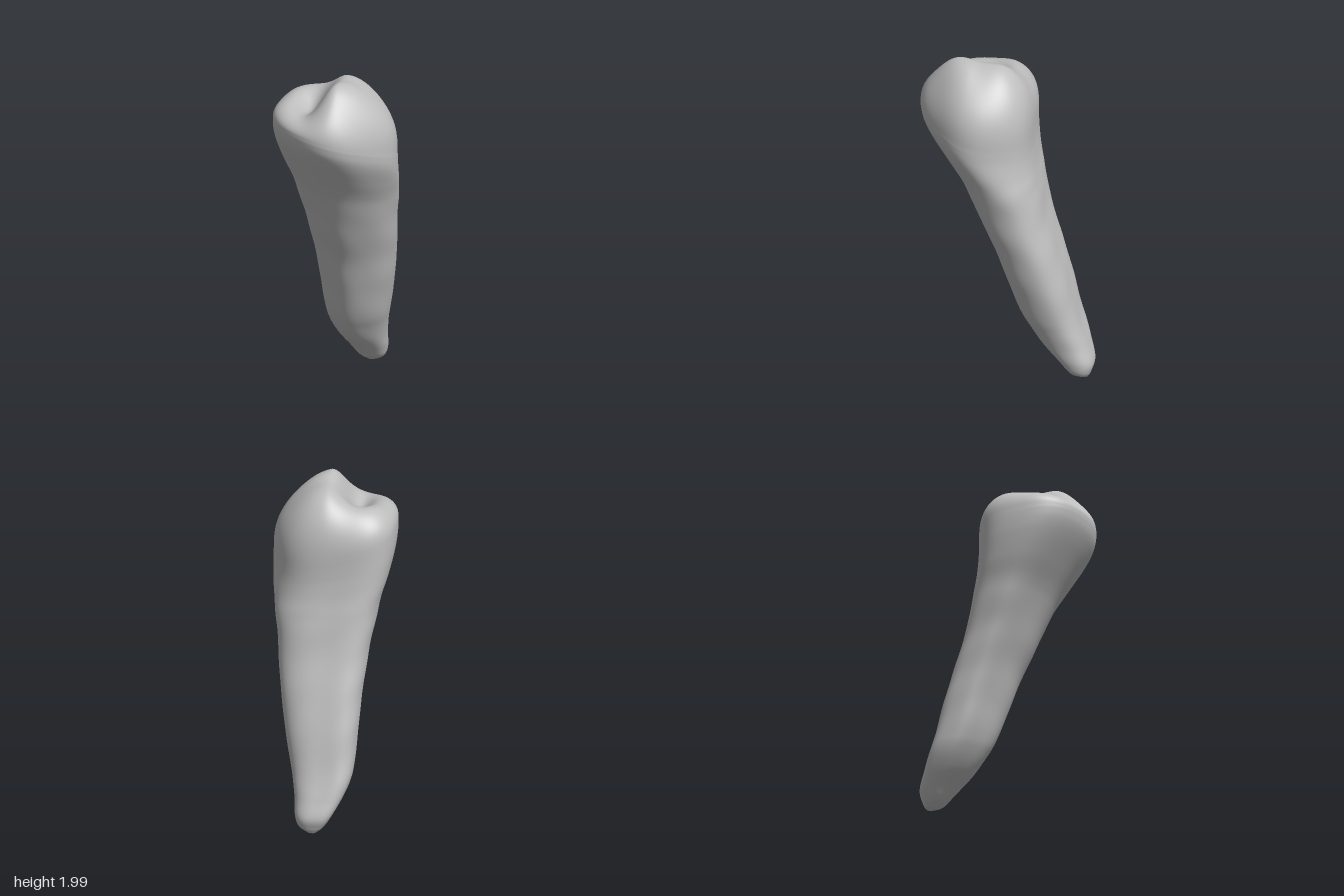
import * as THREE from 'three';

const { smoothstep, lerp } = THREE.MathUtils;
const SEG = 96, SIDE_ROWS = 130, CAP_ROWS = 44;

// Cross-sections from root tip to widest crown line: y, xMin, xMax, zMin, zMax
const SECTIONS = [
  [0.0, 0.04, 0.095, -0.49, -0.435],
  [0.035, -0.005, 0.15, -0.508, -0.375],
  [0.1, -0.05, 0.172, -0.522, -0.31],
  [0.2, -0.108, 0.18, -0.487, -0.205],
  [0.3, -0.15, 0.197, -0.45, -0.13],
  [0.4, -0.166, 0.22, -0.42, -0.075],
  [0.6, -0.18, 0.258, -0.37, 0.0],
  [0.8, -0.197, 0.288, -0.312, 0.07],
  [1.0, -0.222, 0.31, -0.248, 0.16],
  [1.2, -0.26, 0.333, -0.203, 0.247],
  [1.3, -0.283, 0.345, -0.185, 0.304],
  [1.4, -0.32, 0.356, -0.168, 0.38],
  [1.5, -0.35, 0.364, -0.157, 0.466],
  [1.56, -0.361, 0.366, -0.154, 0.507],
  [1.61, -0.365, 0.366, -0.153, 0.522],
  [1.64, -0.365, 0.365, -0.153, 0.524],
];

const bump = (x, z, cx, cz, wx, wz) => Math.exp(-(((x - cx) / wx) ** 2) - ((z - cz) / wz) ** 2);

// Height of the chewing surface: tall cusp ridge, back lobe and saddle, groove
function biteHeight(x, z) {
  const ridge = 0.1 + 0.052 * Math.exp(-(((z - 0.32) / 0.12) ** 2))
    + 0.016 * Math.exp(-(((z - 0.02) / 0.1) ** 2));
  const cusp = ridge * Math.exp(-(((x - 0.05) / (x > 0.05 ? 0.24 : 0.12)) ** 2));
  const lobe = 0.03 * bump(x, z, -0.26, 0.02, 0.11, 0.14);
  const saddle = 0.03 * bump(x, z, -0.13, -0.02, 0.1, 0.12);
  const groove = 0.09 * bump(x, z, -0.13, 0.23, 0.09, 0.17);
  return 1.865 + cusp + lobe + saddle - groove;
}

// Ring radius around a unit circle: four corners fuller or flatter, differing in root and crown
function ringRadius(t, crown) {
  const c = Math.cos(t), s = Math.sin(t);
  const root = 0.02 - 0.063 * s + 0.014 * c + 0.045 * Math.sin(2 * t);
  const top = 0.0125 - 0.06 * s - 0.055 * c;
  return 1 + Math.sin(2 * t) ** 2 * lerp(root, top, crown);
}

function toothGeometry() {
  const side = (ix, iz) => new THREE.CatmullRomCurve3(
    SECTIONS.map((q) => new THREE.Vector3(q[ix], q[0], q[iz])), false, 'catmullrom', 0.5);
  const low = side(1, 3), high = side(2, 4);
  const pos = [], index = [];

  // Root and crown wall, with rings that bow backwards and tilt towards the crown
  let rim = [];
  for (let i = 0; i <= SIDE_ROWS; i++) {
    const a = low.getPoint(i / SIDE_ROWS), b = high.getPoint(i / SIDE_ROWS);
    const crown = smoothstep(a.y, 1.1, 1.6);
    const rootBody = smoothstep(a.y, 0.1, 0.3) * (1 - crown);
    const bow = 0.035 * smoothstep(a.y, 0, 0.3);
    rim = [];
    for (let j = 0; j < SEG; j++) {
      const t = (j / SEG) * Math.PI * 2, c = Math.cos(t), s = Math.sin(t);
      const ripple = 0.008 * Math.sin(a.y * 22 + 3 * c) * Math.cos(2 * t + a.y * 3);
      const r = ringRadius(t, crown) * (1 + rootBody * ripple);
      const x = (a.x + b.x) / 2 + r * c * (b.x - a.x) / 2;
      const z = (a.z + b.z) / 2 + r * s * (b.z - a.z) / 2 - bow * c * c;
      rim.push([x, a.y + crown * (-0.23 * x + 0.18 * (z - 0.18)), z]);
    }
    pos.push(...rim.flat());
  }

  // Crown top: the rim shrinks inwards and domes up to the chewing surface
  for (let i = 1; i < CAP_ROWS; i++) {
    const k = Math.cos((i / CAP_ROWS) * Math.PI / 2);
    for (const [rx, ry, rz] of rim) {
      const x = rx * k, z = lerp(0.185, rz, k);
      const front = smoothstep(rz, 0.2, 0.5);
      const p = lerp(2.6 + 0.2 * smoothstep(-rx, 0, 0.3), 1.9, front);
      const dome = (1 - k ** p) ** (1 / p);
      pos.push(x, lerp(ry, biteHeight(x, z), dome), z);
    }
  }

  const rows = SIDE_ROWS + CAP_ROWS;
  for (let i = 0; i < rows - 1; i++) {
    for (let j = 0; j < SEG; j++) {
      const a = i * SEG + j, b = i * SEG + ((j + 1) % SEG);
      index.push(a, a + SEG, b, b, a + SEG, b + SEG);
    }
  }
  // Close the top middle and the root tip
  const top = pos.length / 3, last = (rows - 1) * SEG;
  pos.push(0, biteHeight(0, 0.185), 0.185, 0.068, 0, -0.463);
  for (let j = 0; j < SEG; j++) {
    const n = (j + 1) % SEG;
    index.push(last + j, top, last + n, j, n, top + 1);
  }

  const geo = new THREE.BufferGeometry();
  geo.setAttribute('position', new THREE.Float32BufferAttribute(pos, 3));
  geo.setIndex(index);
  geo.computeVertexNormals();
  return geo;
}

export function createModel() {
  const group = new THREE.Group();
  group.name = 'tooth';
  const enamel = new THREE.MeshStandardMaterial({ color: 0xbebebe });
  enamel.name = 'grey enamel';
  const tooth = new THREE.Mesh(toothGeometry(), enamel);
  tooth.name = 'crownAndRoot';
  group.add(tooth);
  return group;
}
